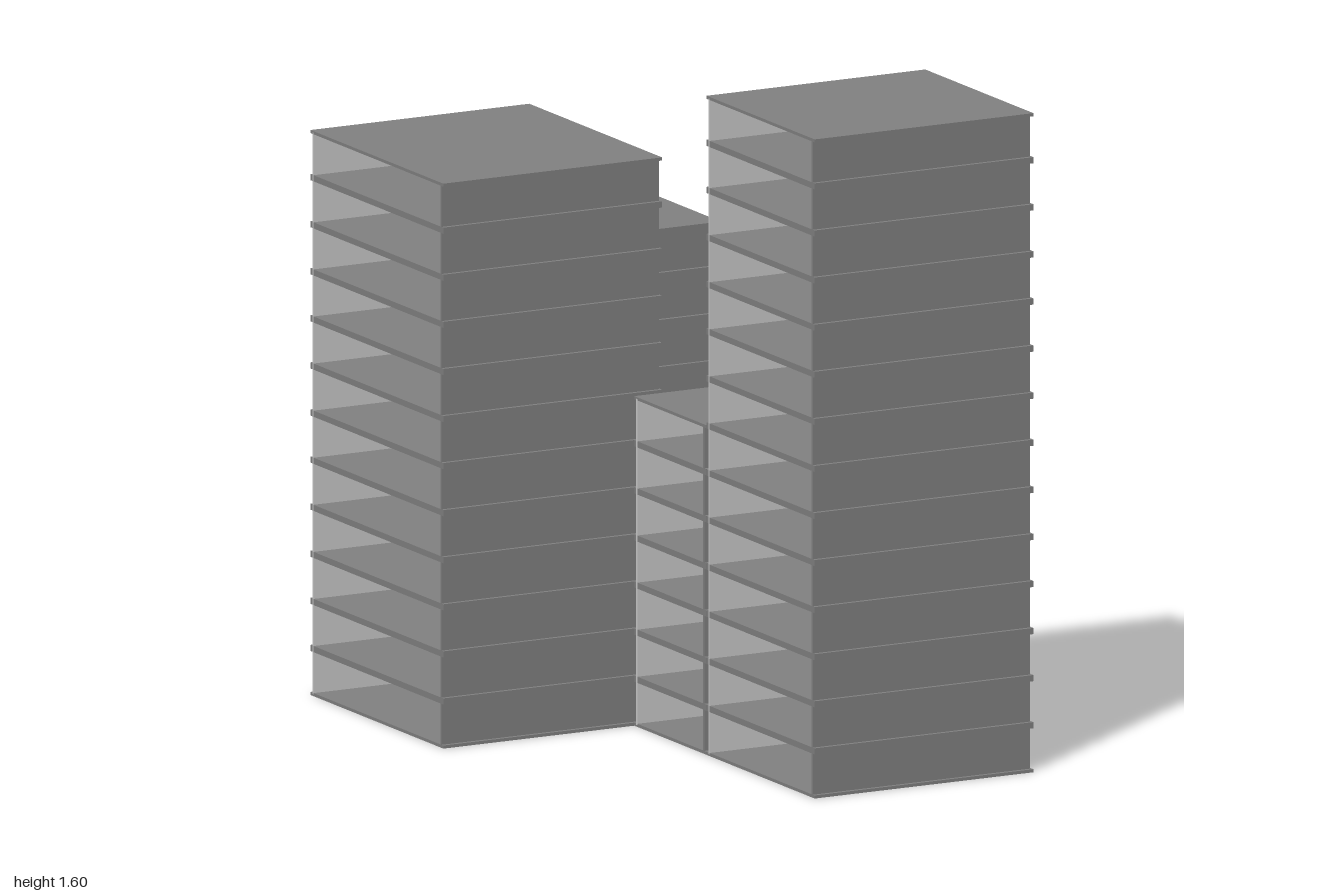
import * as THREE from 'three';

const FLOOR = 1.6 / 14, HALF_SLAB = 0.0075;
const paint = (color) => new THREE.MeshStandardMaterial({ color, flatShading: true });
const light = paint(0xcccccc);
const concrete = paint(0x828282);
const paving = paint(0x999999);
const leaf = paint(0x2f8c0c);
const darkLeaf = paint(0x0f4a0f);
const soil = paint(0x222222);

// Box given by its minimum and maximum on each axis
function box(parent, name, material, x0, x1, y0, y1, z0, z1) {
  const mesh = new THREE.Mesh(new THREE.BoxGeometry(x1 - x0, y1 - y0, z1 - z0), material);
  mesh.position.set((x0 + x1) / 2, (y0 + y1) / 2, (z0 + z1) / 2);
  mesh.name = name;
  parent.add(mesh);
}

// Tower with open -x side, two side walls and a gridded +x facade
function tower({ name, x0, x1, z0, z1, floors, spacing }) {
  const g = new THREE.Group();
  g.name = name;
  const inset = 0.009, wall = 0.006, top = floors * FLOOR;
  const a = z0 + inset, b = z1 - inset, front = x1 - 0.008;
  const y0 = 0.004, y1 = top - 0.004;

  // Slabs are centred on the storey lines; ground and roof slabs are half as thick
  for (let i = 0; i <= floors; i++) {
    const y = i * FLOOR;
    box(g, 'floorSlab', concrete, x0, x1,
      Math.max(0, y - HALF_SLAB), Math.min(top, y + HALF_SLAB), z0, z1);
  }

  box(g, 'backWall', light, x0, front, y0, y1, a, a + wall);
  box(g, 'frontWall', concrete, x0, front, y0, y1, b - wall, b);
  box(g, 'facadePanel', light, front - wall, front - 0.002, y0, y1, a + 0.001, b - 0.001);

  // Vertical bars of the facade: four inside, one at each corner
  const mid = (z0 + z1) / 2, bar = x1 - 0.004;
  for (let k = 0; k < 4; k++) {
    const z = mid + (k - 1.5) * spacing;
    box(g, 'mullion', concrete, front - wall, bar, y0, y1, z - 0.008, z + 0.008);
  }
  box(g, 'cornerMullion', concrete, front - 0.004, bar, y0, y1, a, a + 0.009);
  box(g, 'cornerMullion', concrete, front - 0.004, bar, y0, y1, b - 0.009, b);
  return g;
}

// L-shaped hedge in one quadrant: one arm runs along x, the other along z
function hedge(parent, name, sx, sz, corner, length, widthX, widthZ) {
  const g = new THREE.Group();
  g.name = name;
  const span = (s, p, q) => (s > 0 ? [p, q] : [-q, -p]);
  const hx = widthX / 2, hz = widthZ / 2, [cx, cz] = corner;
  for (const [part, y0, y1, mat] of [['planter', 0.008, 0.03, light], ['foliage', 0.03, 0.055, leaf]]) {
    box(g, part, mat, ...span(sx, cx - hz, cx + length), y0, y1, ...span(sz, cz - hx, cz + hx));
    box(g, part, mat, ...span(sx, cx - hz, cx + hz), y0, y1, ...span(sz, cz + hx, cz + length));
  }
  parent.add(g);
}

export function createModel() {
  const model = new THREE.Group();
  model.name = 'towerBlock';

  [
    { name: 'tallTower', x0: -0.04, x1: 0.55, z0: 0.465, z1: 1, floors: 14, spacing: 0.112 },
    { name: 'lowTower', x0: -0.04, x1: 0.553, z0: 0.108, z1: 0.463, floors: 7, spacing: 0.072 },
    { name: 'middleTower', x0: -0.555, x1: 0.035, z0: -0.549, z1: 0.108, floors: 12, spacing: 0.139 },
    { name: 'shortTower', x0: -0.035, x1: 0.554, z0: -1, z1: -0.553, floors: 9, spacing: 0.097 },
  ].forEach((t) => model.add(tower(t)));

  // Courtyard between the towers
  box(model, 'courtyardFloor', paving, 0.03, 0.555, 0, 0.009, -0.556, 0.11);

  const garden = new THREE.Group();
  garden.name = 'garden';
  garden.position.set(0.292, 0, -0.223);
  for (const sx of [-1, 1]) for (const sz of [-1, 1]) {
    hedge(garden, 'innerHedge', sx, sz, [0.052, 0.045], 0.158, 0.015, 0.015);
    hedge(garden, 'outerHedge', sx, sz, [0.15, 0.145], 0.077, 0.005, 0.009);
  }

  // Round bush on a thin stem in a dark pot at the centre
  const round = (name, geometry, material, y) => {
    const mesh = new THREE.Mesh(geometry, material);
    mesh.name = name;
    mesh.position.y = y;
    garden.add(mesh);
  };
  round('pot', new THREE.CylinderGeometry(0.024, 0.024, 0.021, 8), soil, 0.0185);
  round('stem', new THREE.CylinderGeometry(0.003, 0.003, 0.035, 6), light, 0.045);
  round('bush', new THREE.SphereGeometry(0.028, 8, 3), darkLeaf, 0.079);
  model.add(garden);

  return model;
}
